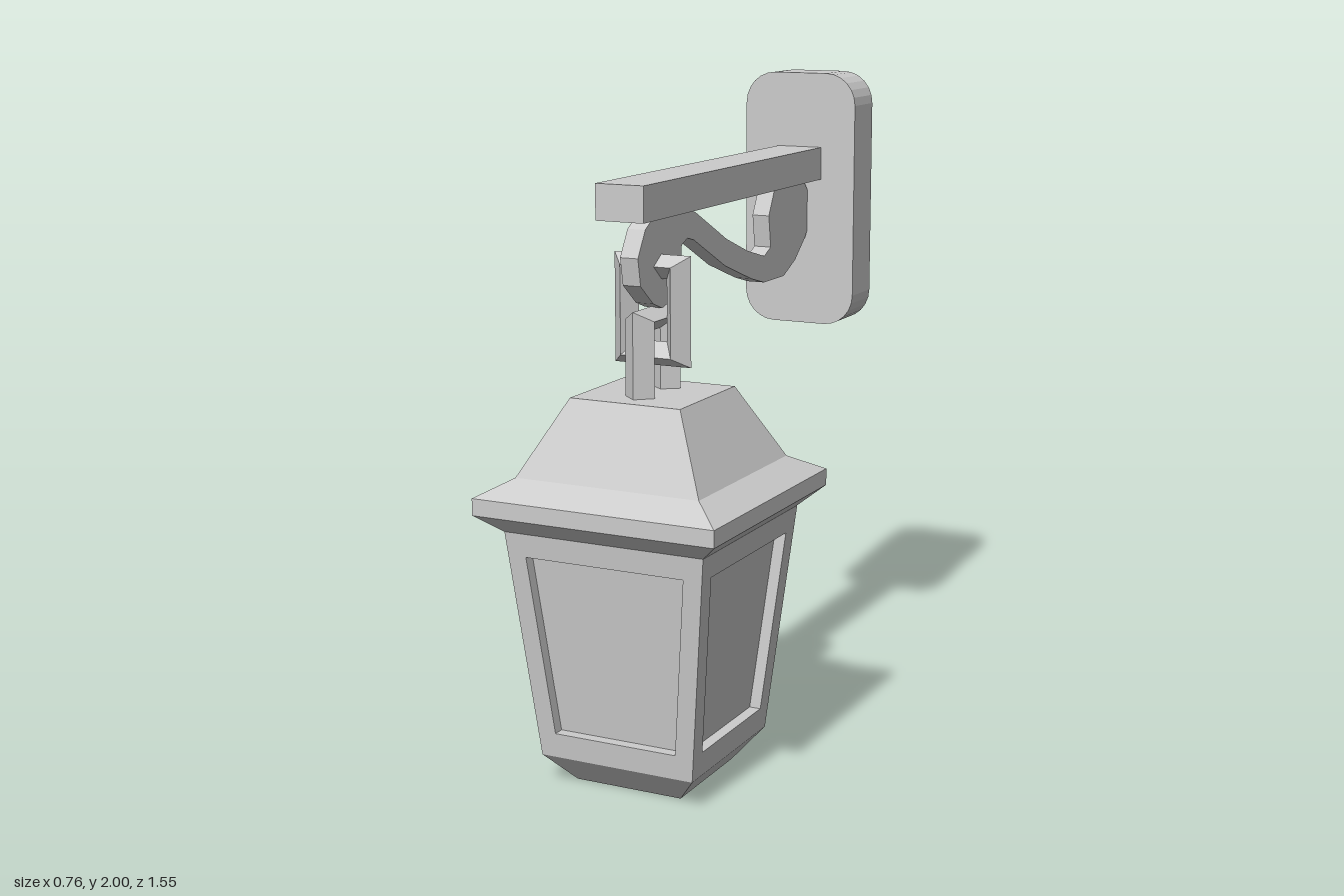
import * as THREE from 'three';

const iron = new THREE.MeshStandardMaterial({ color: 0xcccccc });
iron.name = 'grey metal';

// Splits shared corners so every facet stays crisp
function flatMesh(name, geometry) {
  const g = geometry.index ? geometry.toNonIndexed() : geometry;
  g.computeVertexNormals();
  const mesh = new THREE.Mesh(g, iron);
  mesh.name = name;
  return mesh;
}

// Bridges consecutive four-cornered loops with quads
function bridge(loops, cap = false) {
  const pos = [];
  const quad = (a, b, c, d) => pos.push(...a, ...b, ...c, ...a, ...c, ...d);
  for (let i = 0; i + 1 < loops.length; i++) {
    for (let j = 0; j < 4; j++) {
      const k = (j + 1) % 4;
      quad(loops[i][j], loops[i][k], loops[i + 1][k], loops[i + 1][j]);
    }
  }
  if (cap) quad(...loops[loops.length - 1]);
  const g = new THREE.BufferGeometry();
  g.setAttribute('position', new THREE.Float32BufferAttribute(pos, 3));
  return g;
}

// Square lofted section from [half width, height] pairs
function squareLoft(name, profile) {
  const pts = profile.map(([w, y]) => new THREE.Vector2(w * Math.SQRT2, y));
  return flatMesh(name, new THREE.LatheGeometry(pts, 4, Math.PI / 4));
}

// Lantern wall with a recessed pane, facing +z
function wallGeometry() {
  const y0 = 0.09, y1 = 0.775, w0 = 0.245, w1 = 0.315, depth = 0.035;
  const out = y => w0 + (y - y0) * (w1 - w0) / (y1 - y0);
  const loop = (ya, wa, yb, wb, inset) => [
    [-wa, ya, out(ya) - inset], [wa, ya, out(ya) - inset],
    [wb, yb, out(yb) - inset], [-wb, yb, out(yb) - inset]];
  return bridge([
    loop(y0, w0, y1, w1, 0),
    loop(0.165, 0.195, 0.705, 0.25, 0),
    loop(0.165, 0.195, 0.705, 0.25, depth)], true);
}

// Rectangular chain link with a diamond cross-section
function linkGeometry() {
  const ring = (w, h, z) => [[-w, -h, z], [w, -h, z], [w, h, z], [-w, h, z]];
  const outer = ring(0.122, 0.16, 0);
  return bridge([outer, ring(0.08, 0.13, 0.047), ring(0.045, 0.09, 0),
    ring(0.08, 0.13, -0.047), outer]);
}

export function createModel() {
  const model = new THREE.Group();
  model.name = 'wallLantern';
  const cz = 0.395;

  // Rounded wall plate
  const w = 0.19, b = 1.19, t = 2, r = 0.1;
  const s = new THREE.Shape();
  s.moveTo(-w + r, b);
  s.lineTo(w - r, b);
  s.absarc(w - r, b + r, r, -Math.PI / 2, 0);
  s.absarc(w - r, t - r, r, 0, Math.PI / 2);
  s.absarc(-w + r, t - r, r, Math.PI / 2, Math.PI);
  s.absarc(-w + r, b + r, r, Math.PI, Math.PI * 1.5);
  const plate = flatMesh('wallPlate',
    new THREE.ExtrudeGeometry(s, { depth: 0.147, bevelEnabled: false, curveSegments: 3 }));
  plate.position.z = -0.777;
  model.add(plate);

  // Horizontal arm
  const arm = flatMesh('arm', new THREE.BoxGeometry(0.15, 0.103, 1.22));
  arm.position.set(0, 1.713, -0.022);
  model.add(arm);

  // Scrolled bracket under the arm, outlined as [z, y]
  const outline = [
    [0.44, 1.66], [0.49, 1.63], [0.535, 1.555], [0.52, 1.475], [0.445, 1.415],
    [0.39, 1.395], [0.31, 1.415], [0.277, 1.475], [0.267, 1.56], [0.23, 1.575],
    [0.19, 1.565], [-0.02, 1.46], [-0.205, 1.395], [-0.3, 1.37], [-0.448, 1.37],
    [-0.537, 1.41], [-0.617, 1.475], [-0.635, 1.5], [-0.635, 1.62], [-0.595, 1.665],
    [-0.38, 1.665], [-0.332, 1.575], [-0.347, 1.475], [-0.3, 1.453], [-0.178, 1.485],
    [-0.03, 1.54], [0.18, 1.645], [0.27, 1.665]];
  const scroll = new THREE.ExtrudeGeometry(
    new THREE.Shape(outline.map(p => new THREE.Vector2(...p))),
    { depth: 0.056, bevelEnabled: false });
  scroll.translate(0, 0, -0.028).rotateY(-Math.PI / 2);
  model.add(flatMesh('scrollBracket', scroll));

  // Two interlocking chain links
  [['upperLink', 1.39, 0], ['lowerLink', 1.24, Math.PI / 2]].forEach(([name, y, turn]) => {
    const link = flatMesh(name, linkGeometry());
    link.position.set(0, y, cz);
    link.rotation.y = turn;
    model.add(link);
  });

  // Lantern: tapered base, four paned walls, flared roof
  const lantern = new THREE.Group();
  lantern.name = 'lantern';
  lantern.position.z = cz;
  lantern.add(squareLoft('base', [[0, 0], [0.17, 0], [0.245, 0.09]]));
  for (let i = 0; i < 4; i++) {
    const wall = flatMesh('panedWall', wallGeometry());
    wall.rotation.y = i * Math.PI / 2;
    lantern.add(wall);
  }
  lantern.add(squareLoft('roof', [[0.315, 0.775], [0.38, 0.83], [0.38, 0.88],
    [0.29, 0.93], [0.175, 1.15], [0, 1.15]]));
  model.add(lantern);

  return model;
}
